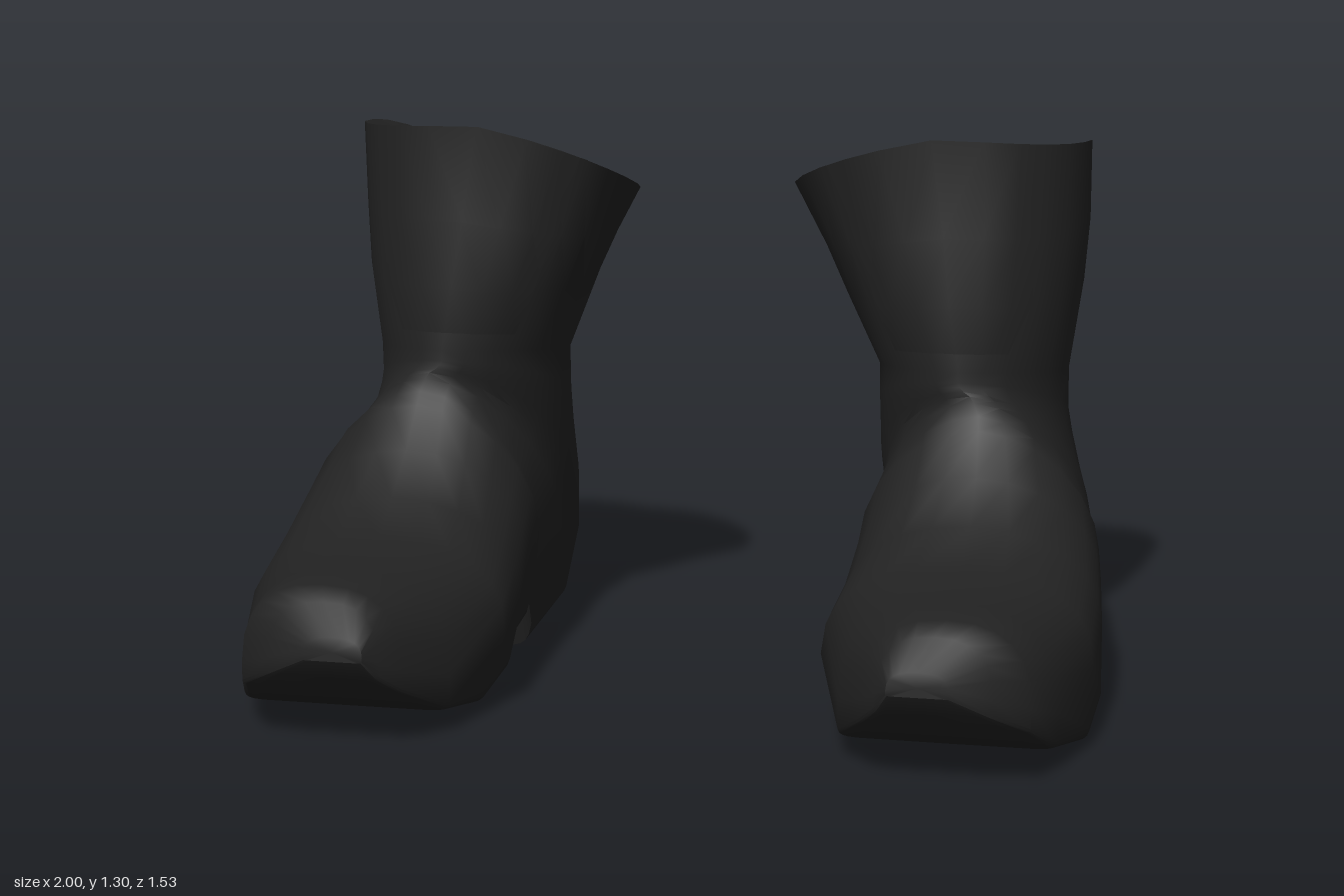
import * as THREE from 'three';
import { toCreasedNormals } from 'three/addons/utils/BufferGeometryUtils.js';

const N = 24; // points around each cross-section
const HEEL = 10; // section ending at the back of the heel
const SHAFT = 14; // first section of the shaft
const { clamp, lerp } = THREE.MathUtils;

// Cross-sections fan from the toe, round the ankle and up the shaft:
// [bottom z, bottom y, top z, top y, inner x, outer x]
const OUTSIDE = [
  [0.768, 0.225, 0.762, 0.28, 0.59, 0.73],
  [0.74, 0.18, 0.72, 0.35, 0.56, 0.82],
  [0.69, 0.135, 0.67, 0.375, 0.52, 0.9],
  [0.55, 0.055, 0.53, 0.376, 0.45, 0.945],
  [0.36, 0.015, 0.3, 0.39, 0.375, 1],
  [0.08, 0.005, 0.17, 0.455, 0.39, 1],
  [-0.03, 0.06, 0.05, 0.545, 0.4, 0.985],
  [-0.14, 0.07, -0.025, 0.64, 0.4, 0.97],
  [-0.16, 0.005, -0.045, 0.67, 0.4, 0.965],
  [-0.6, 0.015, -0.052, 0.7, 0.41, 0.93],
  [-0.757, 0.09, -0.054, 0.715, 0.41, 0.91],
  [-0.765, 0.22, -0.056, 0.725, 0.4, 0.89],
  [-0.735, 0.4, -0.058, 0.735, 0.4, 0.87],
  [-0.7, 0.53, -0.06, 0.745, 0.4, 0.86],
  [-0.69, 0.68, -0.062, 0.77, 0.4, 0.86],
  [-0.73, 0.92, -0.075, 0.92, 0.32, 0.89],
  [-0.732, 1, -0.11, 1.08, 0.27, 0.9],
  [-0.71, 1.07, -0.125, 1.31, 0.2, 0.9],
];
// Lining from the rim down to the insole
const INSIDE = [
  OUTSIDE[OUTSIDE.length - 1],
  [-0.675, 1.06, -0.16, 1.29, 0.26, 0.86],
  [-0.65, 0.95, -0.14, 0.98, 0.38, 0.85],
  [-0.63, 0.7, -0.13, 0.76, 0.44, 0.81],
  [-0.61, 0.25, -0.16, 0.25, 0.44, 0.78],
];

// One point of a section: flat below over the sole, domed over the foot, oval up the shaft
function sectionPoint([zb, yb, zt, yt, xin, xout], i) {
  const a = (i / N) * Math.PI * 2;
  const c = Math.cos(a), s = Math.sin(a);
  const flat = zb > -0.605;
  const lower = flat ? 0.16 : Math.min(0.95, 0.5 + 1.2 * yb);
  const upper = yt < 0.7 ? clamp(0.4 + 1.1 * yt, 0.8, 1.12) : 1.1 - 0.55 * (yt - 0.7);
  const power = c > 0 ? lower : upper;
  const across = Math.sign(s) * Math.abs(s) ** power;
  // The widest level sinks to the sole at the toe
  const waist = lerp(0.5, 0.22, clamp((zb - 0.3) / 0.3, 0, 1));
  const t = c > 0 ? waist * (1 - c ** power) : waist + (1 - waist) * (-c) ** power;
  const taper = flat && across < 0 && zb < 0.5 ? 1 - 0.15 * Math.max(0, 1 - t / waist) : 1;
  // The rim rises on the outer side, drops on the inner side, and the inner flap leans forward
  const flare = clamp((yt - 0.77) / 0.54, 0, 1);
  const lift = flare * across * (across > 0 ? 0.18 * (1 - t) : 0.07 * t);
  const forward = 0.1 * flare * Math.max(0, -across) * Math.abs(s);
  return new THREE.Vector3(
    (xin + xout) / 2 + ((xout - xin) / 2) * across * taper,
    lerp(yb, yt, t) + lift,
    lerp(zb, zt, t) + forward
  );
}

// Skin rows of equal length, keeping chosen faces; side -1 mirrors the result
function skin(rows, side, keep, cap) {
  const pos = [], index = [], n = rows[0].length;
  const tri = (a, b, c) => (side > 0 ? index.push(a, b, c) : index.push(a, c, b));
  const addPoint = (p) => pos.push(p.x * side, p.y, p.z);
  rows.flat().forEach(addPoint);
  for (let k = 0; k < rows.length - 1; k++) {
    for (let i = 0; i < n; i++) {
      if (!keep(k, i)) continue;
      const a = k * n + i, b = k * n + ((i + 1) % n);
      tri(a, a + n, b);
      tri(b, a + n, b + n);
    }
  }
  // Close the toe tip or the insole with a fan
  if (cap) {
    const k = cap === 'start' ? 0 : rows.length - 1;
    const middle = rows[k].reduce((sum, p) => sum.addScaledVector(p, 1 / n), new THREE.Vector3());
    const centre = pos.length / 3;
    addPoint(middle);
    for (let i = 0; i < n; i++) {
      const a = k * n + i, b = k * n + ((i + 1) % n);
      if (k === 0) tri(centre, a, b);
      else tri(centre, b, a);
    }
  }
  const g = new THREE.BufferGeometry();
  g.setAttribute('position', new THREE.Float32BufferAttribute(pos, 3));
  g.setIndex(index);
  return toCreasedNormals(g, 0.75);
}

const ring = (section) => Array.from({ length: N }, (_, i) => sectionPoint(section, i));

// Front panel rising out of the ankle to stand just proud of the shaft
function tongueRow(section, k) {
  const points = ring(section).slice(9, 16);
  points.forEach((p, i) => { p.z += k === 0 || i === 0 || i === points.length - 1 ? -0.004 : 0.01; });
  return points;
}

export function createModel() {
  const leather = new THREE.MeshStandardMaterial({ color: 0x222222, side: THREE.DoubleSide });
  leather.name = 'black leather';

  const outside = OUTSIDE.map(ring);
  const inside = INSIDE.map(ring);
  const tongue = OUTSIDE.slice(SHAFT).map(tongueRow);
  const isSole = (k, i) => k < HEEL && (i < 3 || i >= N - 3);

  const model = new THREE.Group();
  model.name = 'boots';
  for (const side of [1, -1]) {
    const boot = new THREE.Group();
    boot.name = side > 0 ? 'leftBoot' : 'rightBoot';
    const add = (name, geometry) => {
      const mesh = new THREE.Mesh(geometry, leather);
      mesh.name = name;
      boot.add(mesh);
    };
    add('upper', skin(outside, side, (k, i) => !isSole(k, i), 'start'));
    add('sole', skin(outside, side, isSole));
    add('lining', skin(inside, side, () => true, 'end'));
    add('tongue', skin(tongue, side, (k, i) => i < tongue[0].length - 1));
    model.add(boot);
  }
  return model;
}
